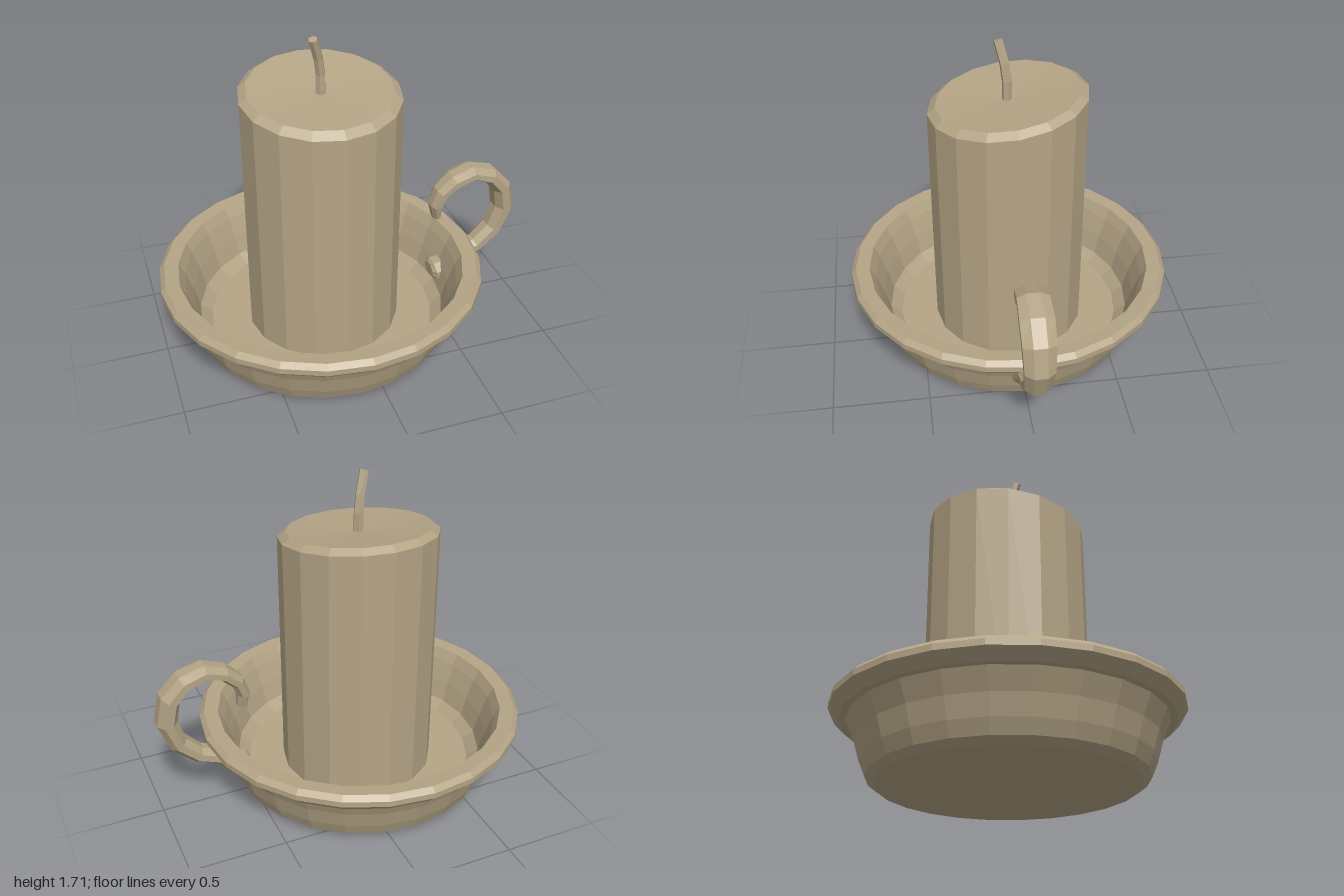
import * as THREE from 'three';

const CENTER_X = -0.13;

// Solid of elliptical cross-sections along a path in the xy plane.
// Each station is [x, y, half thickness in plane, half width in z].
function loft(stations, sides) {
  const pos = [], idx = [], n = stations.length;
  stations.forEach(([x, y, a, b], i) => {
    const p = stations[Math.max(i - 1, 0)], q = stations[Math.min(i + 1, n - 1)];
    const t = new THREE.Vector2(q[0] - p[0], q[1] - p[1]).normalize();
    for (let j = 0; j < sides; j++) {
      const ang = ((j + 0.5) / sides) * Math.PI * 2;
      const u = a * Math.cos(ang);
      pos.push(x - t.y * u, y + t.x * u, b * Math.sin(ang));
    }
  });
  for (let i = 0; i < n - 1; i++) {
    for (let j = 0; j < sides; j++) {
      const k = (j + 1) % sides;
      const a = i * sides + j, b = i * sides + k, c = b + sides, d = a + sides;
      idx.push(a, b, c, a, c, d);
    }
  }
  // End caps
  const last = (n - 1) * sides;
  for (let j = 1; j < sides - 1; j++) {
    idx.push(0, j + 1, j, last, last + j, last + j + 1);
  }
  const g = new THREE.BufferGeometry();
  g.setAttribute('position', new THREE.Float32BufferAttribute(pos, 3));
  g.setIndex(idx);
  g.computeVertexNormals();
  return g;
}

function lathe(profile, sides) {
  return new THREE.LatheGeometry(profile.map(([r, y]) => new THREE.Vector2(r, y)), sides);
}

export function createModel() {
  const group = new THREE.Group();
  const clay = new THREE.MeshStandardMaterial({ color: 0xb5a586, flatShading: true });
  clay.name = 'clay';

  const add = (name, geometry, x = 0) => {
    const mesh = new THREE.Mesh(geometry, clay);
    mesh.name = name;
    mesh.position.x = x;
    group.add(mesh);
    return mesh;
  };

  // Dish: outer wall, rolled rim, inner wall and floor
  add('dish', lathe([
    [0, 0], [0.64, 0], [0.68, 0.03], [0.71, 0.1], [0.74, 0.2], [0.785, 0.3],
    [0.82, 0.3], [0.87, 0.35], [0.87, 0.38], [0.845, 0.405],
    [0.77, 0.4], [0.74, 0.34], [0.7, 0.23], [0.67, 0.12], [0.61, 0.07], [0, 0.07],
  ], 24), CENTER_X);

  // Candle: chamfered column whose top slopes down toward the front
  const candle = lathe([[0, 0.06], [0.41, 0.06], [0.41, 1.395], [0.37, 1.425], [0, 1.4]], 16);
  const p = candle.attributes.position;
  for (let i = 0; i < p.count; i++) {
    if (p.getY(i) > 1) p.setY(i, p.getY(i) - 0.13 * p.getZ(i));
  }
  candle.computeVertexNormals();
  add('candle', candle, CENTER_X + 0.01);

  // Wick: thin, bending to one side
  const wick = add('wick', loft([
    [0, 1.36, 0.027, 0.027], [0, 1.5, 0.026, 0.026],
    [-0.018, 1.59, 0.025, 0.025], [-0.06, 1.7, 0.024, 0.024],
  ], 6), CENTER_X + 0.01);
  wick.rotation.y = 0.7;
  wick.position.z = 0.005;

  // Handle: flattened hook, its root passing through the dish wall
  add('handle', loft([
    [0.515, 0.19, 0.035, 0.06], [0.535, 0.19, 0.055, 0.09], [0.6, 0.2, 0.06, 0.085],
    [0.68, 0.275, 0.045, 0.07], [0.79, 0.315, 0.047, 0.065], [0.89, 0.41, 0.052, 0.07],
    [0.94, 0.55, 0.058, 0.08], [0.915, 0.68, 0.055, 0.087], [0.84, 0.765, 0.048, 0.09],
    [0.73, 0.8, 0.042, 0.085], [0.63, 0.765, 0.04, 0.08], [0.56, 0.7, 0.04, 0.07],
    [0.53, 0.62, 0.035, 0.06], [0.54, 0.545, 0.025, 0.04],
  ], 8));

  return group;
}
